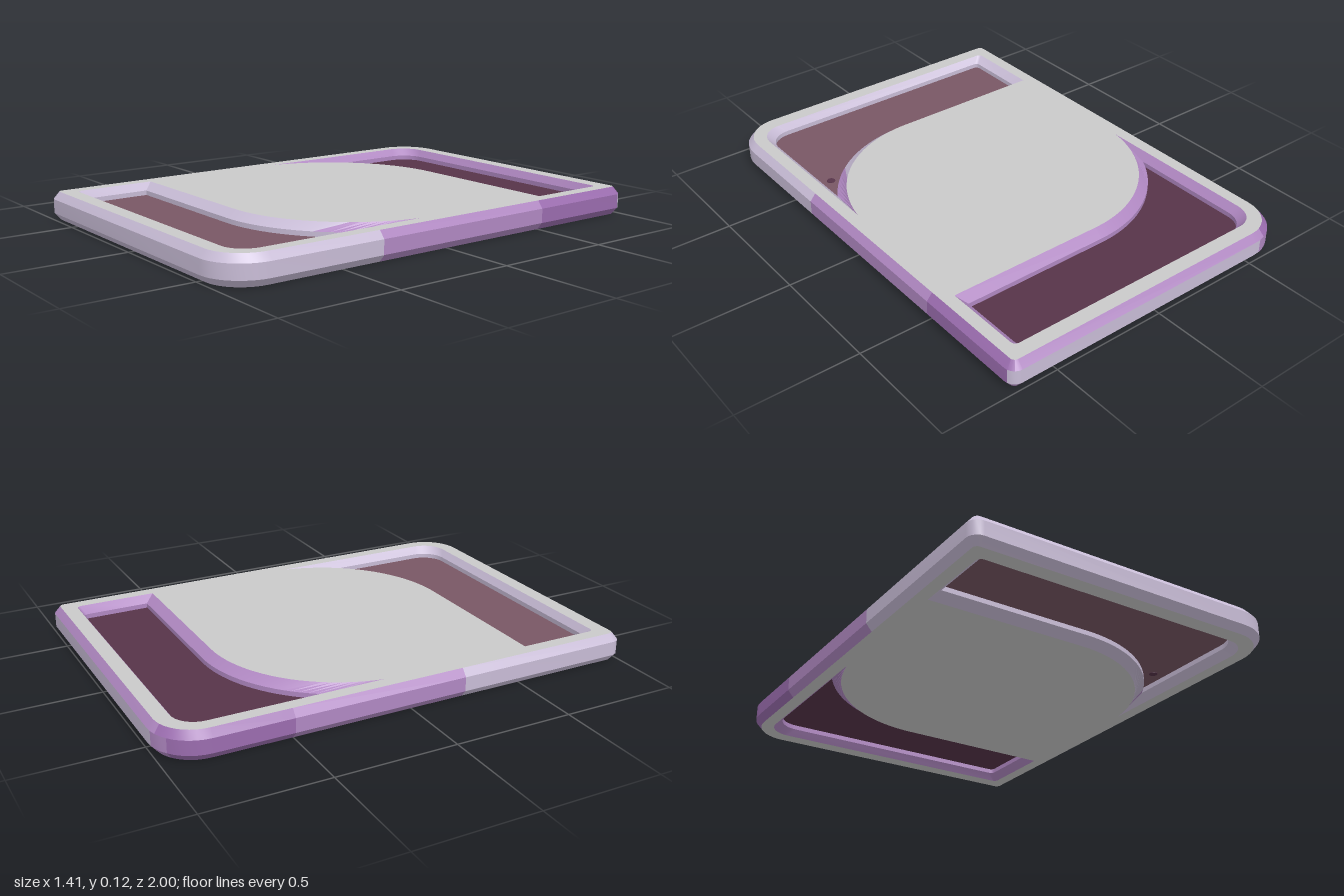
import * as THREE from 'three';
import { toCreasedNormals } from 'three/addons/utils/BufferGeometryUtils.js';

const make = (name, color) => {
  const m = new THREE.MeshStandardMaterial({ color });
  m.name = name;
  return m;
};

const HEIGHT = 0.12, EDGE_TOP = 0.09, EDGE_LOW = 0.03;
const ARC_X = -0.067; // centre of the large pocket curve

// Points on an arc in the ground plane, angles in degrees, back is up
function arc(cx, cz, r, from, to, n) {
  return Array.from({ length: n + 1 }, (_, i) => {
    const a = THREE.MathUtils.degToRad(from + (to - from) * i / n);
    return [cx + r * Math.cos(a), cz - r * Math.sin(a)];
  });
}

// Slab outline: two opposite large corners, two small ones
function slabOutline(inset) {
  const hx = 0.704 - inset, hz = 1 - inset;
  const big = 0.18 - inset, small = 0.045 - inset;
  return [
    ...arc(hx - small, -hz + small, small, 0, 90, 5),
    ...arc(-hx + big, -hz + big, big, 90, 180, 10),
    [-hx, -0.5], [-hx, 0.23],
    ...arc(-hx + small, hz - small, small, 180, 270, 5),
    ...arc(hx - big, hz - big, big, 270, 360, 10),
    [hx, 0.33], [hx, -0.5],
  ];
}

// Back pocket outline, t = 0 at the surface and 1 at the foot of the bevel
function pocketOutline(t) {
  const left = -0.625 + 0.03 * t, right = 0.625 - 0.033 * t;
  const back = -0.912 + 0.02 * t, radius = 0.565 + 0.04 * t;
  const end = THREE.MathUtils.radToDeg(Math.acos((left - ARC_X) / radius));
  return [
    ...arc(ARC_X, 0, radius, 90, end, 20),
    ...arc(left + 0.1, back + 0.1, 0.1, 180, 90, 8),
    ...arc(right - 0.02, back + 0.02, 0.02, 90, 0, 4),
    [right, -radius],
  ];
}

const turn = (pts) => pts.map(([x, z]) => [-x, -z]);
const shapeOf = (pts, sign) => new THREE.Shape(pts.map(([x, z]) => new THREE.Vector2(x, sign * z)));

export function createModel() {
  const group = new THREE.Group();
  const gray = make('light gray', 0xc9c9c9);
  const lavender = make('lavender', 0xc8bcd6);
  const purple = make('purple', 0xb088c2);
  const deepPurple = make('deep purple', 0x9a6cae);
  const plum = make('dark plum', 0x573449);
  const mauve = make('dusty mauve', 0x785764);

  const add = (name, geometry, material) => {
    const mesh = new THREE.Mesh(geometry, material);
    mesh.name = name;
    group.add(mesh);
    return mesh;
  };

  // Closed band between two matching loops, one mesh per colour
  function band(name, upper, yUp, lower, yLow, pick) {
    const parts = new Map();
    upper.forEach((a, i) => {
      const j = (i + 1) % upper.length;
      const b = upper[j], c = lower[i], d = lower[j];
      const material = pick((a[0] + b[0]) / 2, (a[1] + b[1]) / 2);
      if (!parts.has(material)) parts.set(material, []);
      const A = [a[0], yUp, a[1]], B = [b[0], yUp, b[1]];
      const C = [c[0], yLow, c[1]], D = [d[0], yLow, d[1]];
      parts.get(material).push(...A, ...C, ...D, ...A, ...D, ...B);
    });
    for (const [material, positions] of parts) {
      const g = new THREE.BufferGeometry();
      g.setAttribute('position', new THREE.Float32BufferAttribute(positions, 3));
      add(name, toCreasedNormals(g, 0.4), material);
    }
  }

  // Outer rim: bevel, upright edge, bevel
  const rimColor = (x, z) => {
    if (z > (x > 0 ? 0.33 : 0.23)) return lavender;
    return z < -0.5 && z > -0.97 ? deepPurple : purple;
  };
  const edgeColor = (x, z) => (z < -0.97 && x > -0.54 ? lavender : rimColor(x, z));
  const outer = slabOutline(0), face = slabOutline(0.025);
  band('upperRimBevel', face, HEIGHT, outer, EDGE_TOP, rimColor);
  band('rimEdge', outer, EDGE_TOP, outer, EDGE_LOW, edgeColor);
  band('lowerRimBevel', outer, EDGE_LOW, face, 0, rimColor);

  // Two pockets, the front one turned half round
  const wallColor = (x, z) => (z > 0.33 ? lavender : purple);
  const mouths = [];
  for (const side of ['back', 'front']) {
    const place = side === 'front' ? turn : (p) => p;
    const mouth = place(pocketOutline(0)), foot = place(pocketOutline(1));
    mouths.push(mouth);
    band(side + 'PocketUpperBevel', mouth, HEIGHT, foot, EDGE_TOP, wallColor);
    band(side + 'PocketWall', foot, EDGE_TOP, foot, EDGE_LOW, wallColor);
    band(side + 'PocketLowerBevel', foot, EDGE_LOW, mouth, 0, wallColor);

    // Thin panel across the middle of the pocket
    const panel = new THREE.ExtrudeGeometry(shapeOf(foot, -1), { depth: 0.02, bevelEnabled: false });
    panel.rotateX(-Math.PI / 2).translate(0, 0.05, 0);
    add(side + 'PocketPanel', panel, side === 'back' ? plum : mauve);
  }

  // Small dark spot through the front panel
  const spot = new THREE.CylinderGeometry(0.018, 0.018, 0.024, 12);
  add('panelSpot', spot, plum).position.set(0.54, 0.06, 0.44);

  // Flat top and bottom faces with pocket openings
  for (const sign of [-1, 1]) {
    const shape = shapeOf(face, sign);
    shape.holes = mouths.map((m) => shapeOf(m, sign));
    const g = new THREE.ShapeGeometry(shape).rotateX(sign * Math.PI / 2);
    g.translate(0, sign < 0 ? HEIGHT : 0, 0);
    add(sign < 0 ? 'topFace' : 'bottomFace', g, gray);
  }
  return group;
}
